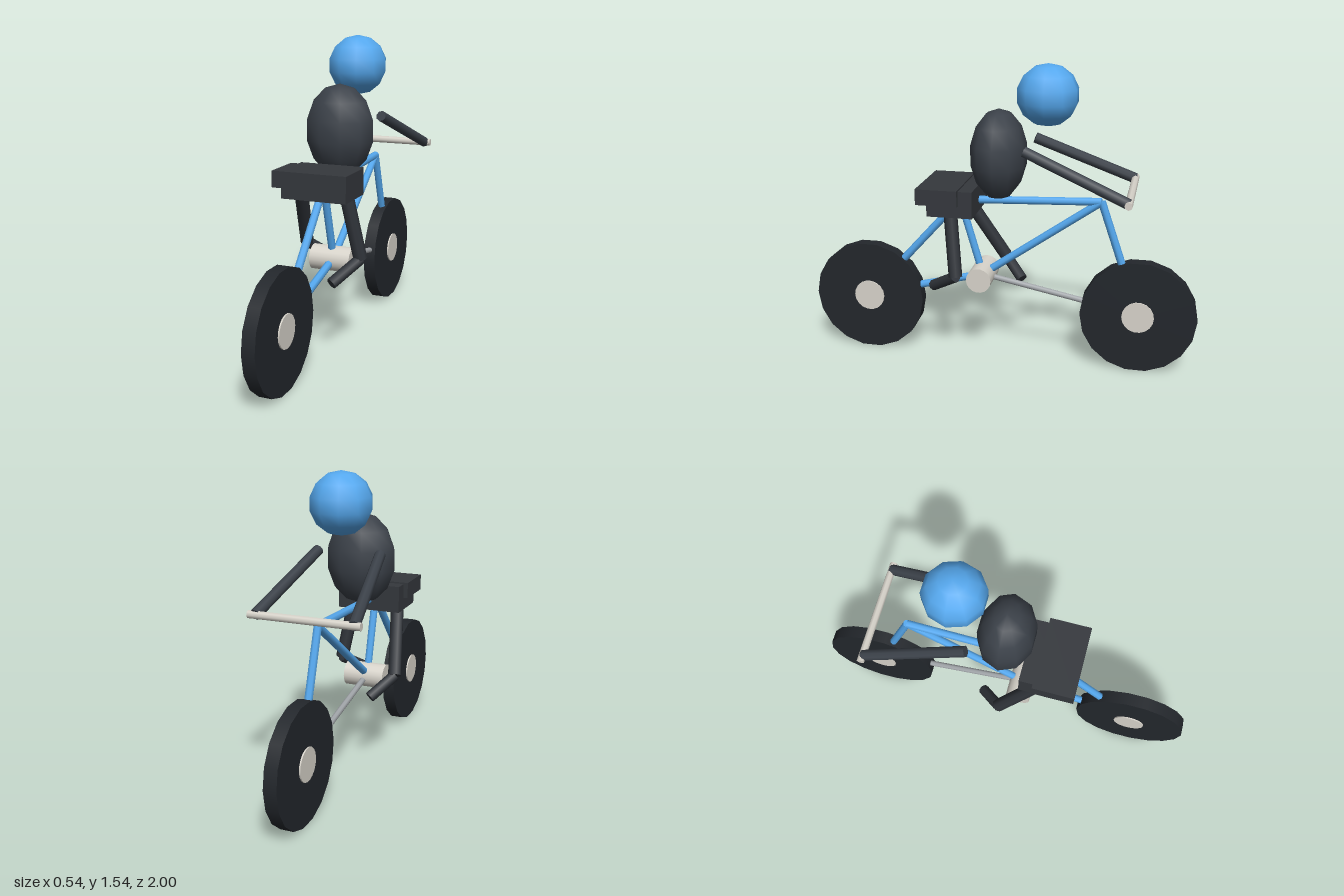
import * as THREE from 'three';

const paint = (color) => new THREE.MeshStandardMaterial({ color });
const blue = paint(0x55a8ee), dark = paint(0x3b4149), limb = paint(0x30343a);
const tyre = paint(0x23272c), seatGrey = paint(0x35383d), cream = paint(0xd8d4cb), steel = paint(0xa0a4a8);

export function createModel() {
  const model = new THREE.Group();

  const add = (name, geometry, material, x, y, z) => {
    const mesh = new THREE.Mesh(geometry, material);
    mesh.name = name;
    mesh.position.set(x, y, z);
    model.add(mesh);
    return mesh;
  };

  // round bar between two points
  const bar = (name, from, to, radius, material, sides = 8) => {
    const a = new THREE.Vector3(...from), b = new THREE.Vector3(...to);
    const dir = b.clone().sub(a), mid = a.clone().add(b).multiplyScalar(0.5);
    const mesh = add(name, new THREE.CylinderGeometry(radius, radius, dir.length(), sides), material, mid.x, mid.y, mid.z);
    mesh.quaternion.setFromUnitVectors(new THREE.Vector3(0, 1, 0), dir.normalize());
    return mesh;
  };

  // cylinder lying across the bike
  const axle = (name, radius, width, material, y, z, sides) => {
    const geometry = new THREE.CylinderGeometry(radius, radius, width, sides).rotateZ(Math.PI / 2);
    return add(name, geometry, material, 0, y, z);
  };

  // egg-shaped body part
  const ball = (name, rx, ry, rz, material, y, z) =>
    add(name, new THREE.SphereGeometry(1, 10, 7).scale(rx, ry, rz), material, 0, y, z);

  // wheels with hubs
  for (const [name, z] of [['rear', 0.707], ['front', -0.707]]) {
    axle(name + 'Wheel', 0.293, 0.064, tyre, 0.293, z, 18);
    axle(name + 'Hub', 0.081, 0.078, cream, 0.297, z, 18);
  }

  // frame
  const rear = [0, 0.297, 0.707], front = [0, 0.297, -0.707];
  const crank = [0, 0.455, 0.095], seatTop = [0, 0.85, 0.21], head = [0, 0.88, -0.505];
  bar('topTube', seatTop, head, 0.02, blue);
  bar('downTube', head, crank, 0.02, blue);
  bar('seatTube', crank, seatTop, 0.02, blue);
  bar('seatStay', seatTop, rear, 0.02, blue);
  bar('chainStay', crank, rear, 0.02, blue);
  bar('fork', head, front, 0.02, blue);
  bar('driveRod', crank, front, 0.015, steel);
  axle('crankHousing', 0.064, 0.212, cream, 0.455, 0.095, 18);
  axle('handlebar', 0.019, 0.54, cream, 0.945, -0.65, 8);

  // seat in two blocks
  add('seatBase', new THREE.BoxGeometry(0.33, 0.135, 0.23), seatGrey, 0, 0.868, 0.225);
  add('seatPad', new THREE.BoxGeometry(0.376, 0.08, 0.21), seatGrey, 0, 0.903, 0.285);

  // rider
  ball('torso', 0.18, 0.228, 0.142, dark, 1.093, 0.01);
  ball('riderHead', 0.152, 0.151, 0.154, blue, 1.395, -0.23);
  for (const side of [1, -1]) {
    const label = side > 0 ? 'left' : 'right';
    bar(label + 'Arm', [side * 0.16, 1.15, -0.145], [side * 0.236, 0.945, -0.65], 0.027, dark);
    // the legs are at opposite points of the pedal stroke
    const [kneeZ, footZ] = side > 0 ? [0.192, 0.335] : [0.01, -0.095];
    const knee = [side * 0.183, 0.5, kneeZ];
    bar(label + 'Thigh', [side * 0.115, 0.87, 0.235], knee, 0.034, limb);
    bar(label + 'Shin', knee, [side * 0.09, 0.407, footZ], 0.028, limb);
  }
  return model;
}
